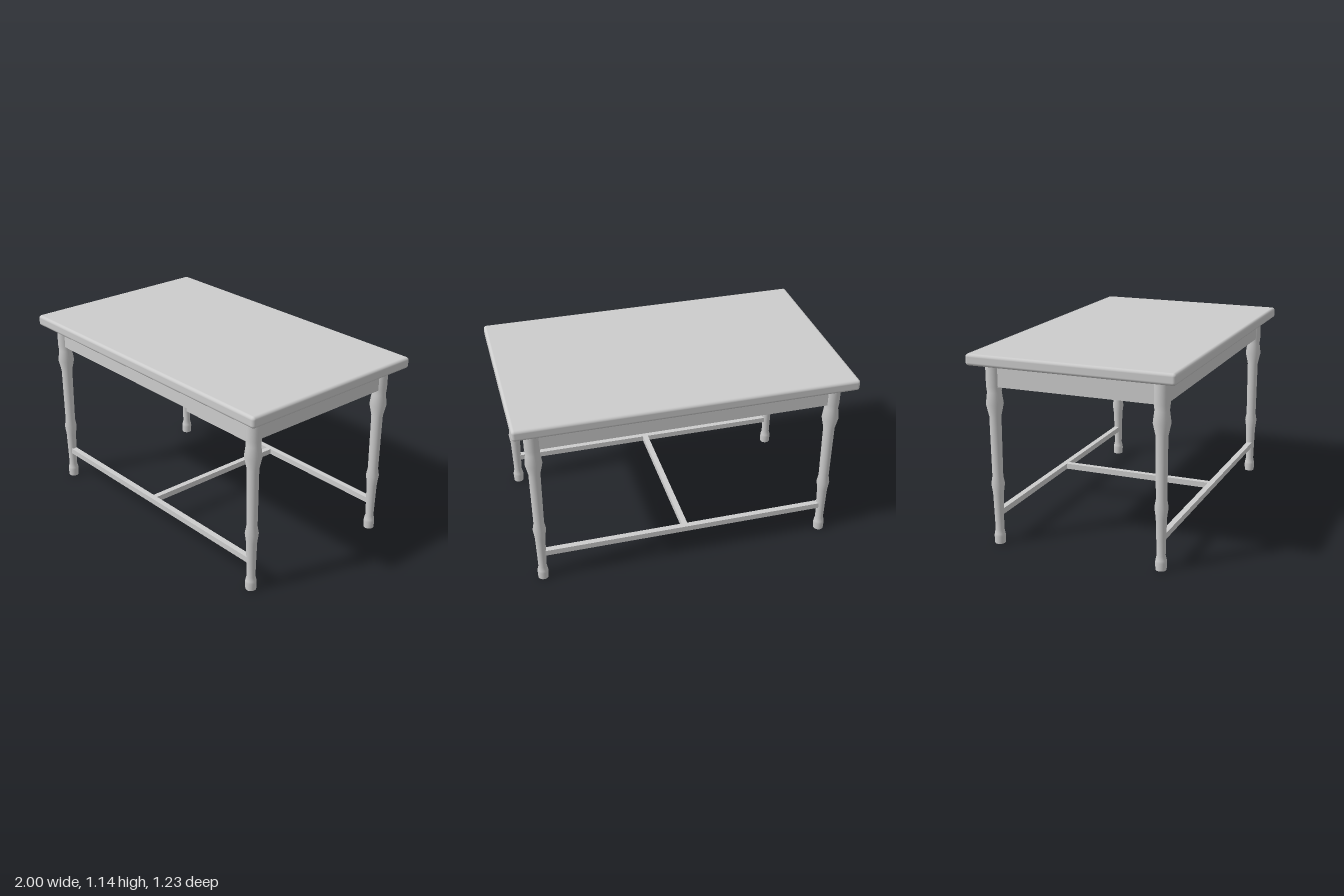
import * as THREE from 'three';
import { RoundedBoxGeometry } from 'three/addons/geometries/RoundedBoxGeometry.js';

const LEG_X = 0.885, LEG_Z = 0.5;

// turned leg outline, [radius, height] from the floor up
const LEG_PROFILE = [
  [0, 0], [0.031, 0], [0.031, 0], [0.033, 0.045], [0.031, 0.06], [0.025, 0.085],
  [0.027, 0.17], [0.031, 0.305], [0.039, 0.365], [0.031, 0.41],
  [0.034, 0.767], [0.05, 0.84], [0.041, 0.91], [0.045, 0.945], [0.045, 1.08],
];

export function createModel() {
  const table = new THREE.Group();
  table.name = 'table';
  const paint = new THREE.MeshStandardMaterial({ color: 0xcccccc });
  paint.name = 'light grey';

  const add = (name, geometry, x, y, z) => {
    const mesh = new THREE.Mesh(geometry, paint);
    mesh.name = name;
    mesh.position.set(x, y, z);
    table.add(mesh);
  };

  // table top with softened edges
  add('tableTop', new RoundedBoxGeometry(2, 0.067, 1.226, 4, 0.018), 0, 1.1065, 0);

  // four turned legs
  const legGeometry = new THREE.LatheGeometry(
    LEG_PROFILE.map(([r, y]) => new THREE.Vector2(r, y)), 32);
  for (const sx of [-1, 1]) {
    for (const sz of [-1, 1]) {
      const name = (sz > 0 ? 'front' : 'back') + (sx > 0 ? 'Left' : 'Right') + 'Leg';
      add(name, legGeometry, sx * LEG_X, 0, sz * LEG_Z);
    }
  }

  // aprons under the top, long stretchers between the legs
  const longApron = new THREE.BoxGeometry(2 * LEG_X, 0.132, 0.05);
  const sideApron = new THREE.BoxGeometry(0.05, 0.132, 2 * LEG_Z);
  const stretcher = new THREE.BoxGeometry(2 * LEG_X, 0.035, 0.035);
  for (const s of [-1, 1]) {
    const end = s > 0 ? 'front' : 'back';
    add(end + 'Apron', longApron, 0, 1.009, s * LEG_Z);
    add(s > 0 ? 'leftApron' : 'rightApron', sideApron, s * LEG_X, 1.009, 0);
    add(end + 'Stretcher', stretcher, 0, 0.187, s * LEG_Z);
  }

  // cross bar joining the two stretchers
  add('crossStretcher', new THREE.BoxGeometry(0.035, 0.035, 2 * LEG_Z - 0.035), 0, 0.187, 0);

  return table;
}
